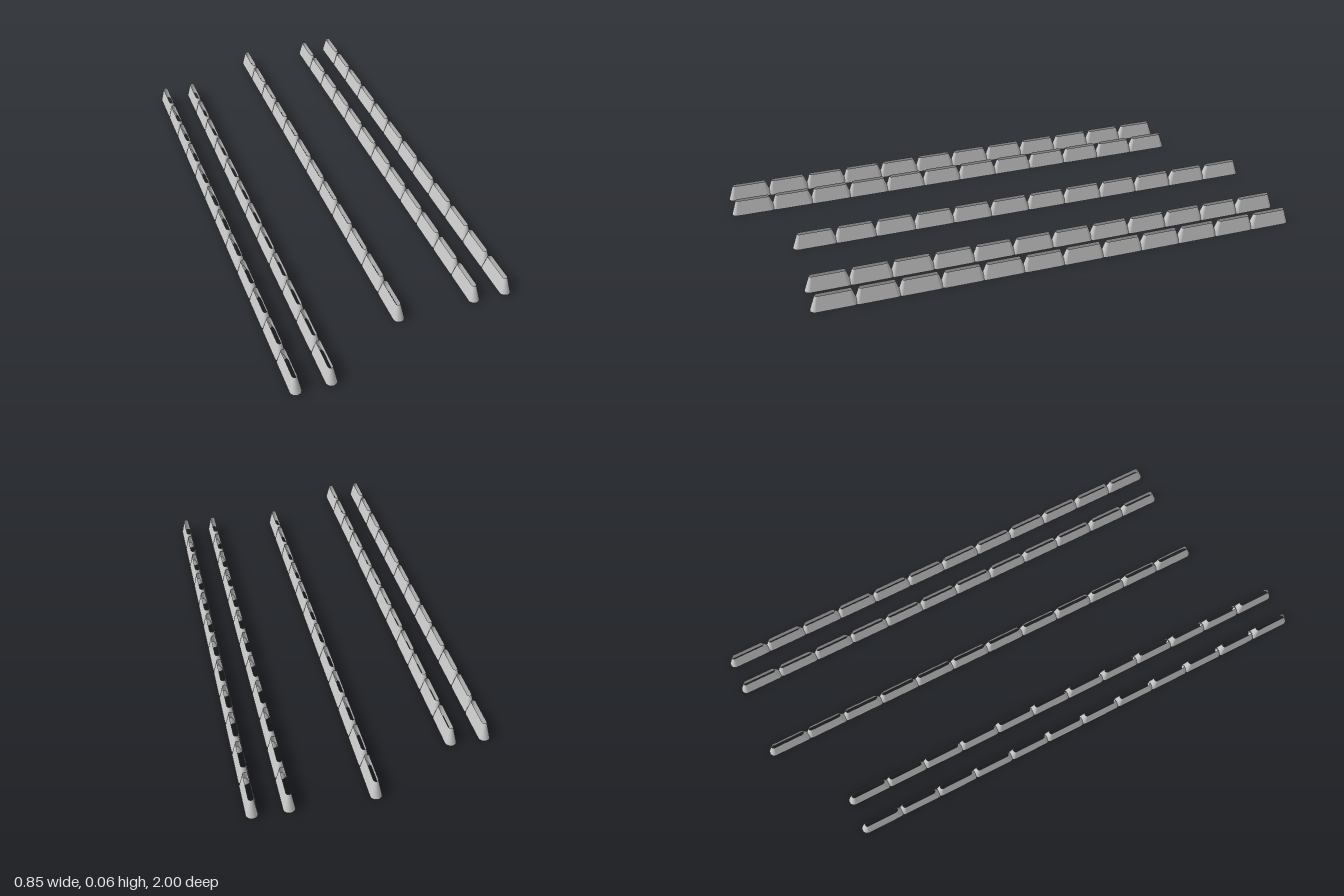
import * as THREE from 'three';

const PITCH = 0.1496, LENGTH = 0.166, HEIGHT = 0.058, COUNT = 12;
const ARC = 12; // segments per rounded end

// Open tapered shell lofted between two stadium outlines
function barrierGeometry() {
  const rings = [
    { y: 0, r: 0.0192, half: LENGTH / 2 },
    { y: HEIGHT, r: 0.008, half: LENGTH / 2 - 0.02 },
  ];
  const n = 2 * (ARC + 1), pos = [], index = [];
  for (const { y, r, half } of rings) {
    for (const end of [1, -1]) {
      for (let i = 0; i <= ARC; i++) {
        const a = (i / ARC) * Math.PI;
        pos.push(end * r * Math.cos(a), y, end * (half - r + r * Math.sin(a)));
      }
    }
  }
  for (let i = 0; i < n; i++) {
    const j = (i + 1) % n;
    index.push(i, i + n, j, j, i + n, j + n);
  }
  const g = new THREE.BufferGeometry();
  g.setAttribute('position', new THREE.Float32BufferAttribute(pos, 3));
  g.setIndex(index);
  g.computeVertexNormals();
  return g;
}

export function createModel() {
  const model = new THREE.Group();
  model.name = 'barrierRows';
  const material = new THREE.MeshStandardMaterial({ color: 0xcccccc, side: THREE.DoubleSide });
  const geometry = barrierGeometry();

  // Row position across, and which end of the layout it reaches
  const rows = [[-0.406, 1], [-0.29, 1], [0.014, -1], [0.288, -1], [0.404, -1]];
  rows.forEach(([x, end], k) => {
    const row = new THREE.Group();
    row.name = `barrierRow${k + 1}`;
    row.position.x = x;
    // Neighbouring barriers overlap slightly at their rounded ends
    for (let i = 0; i < COUNT; i++) {
      const barrier = new THREE.Mesh(geometry, material);
      barrier.name = `barrier${i + 1}`;
      barrier.position.z = end * (1 - LENGTH / 2 - i * PITCH);
      row.add(barrier);
    }
    model.add(row);
  });
  return model;
}
